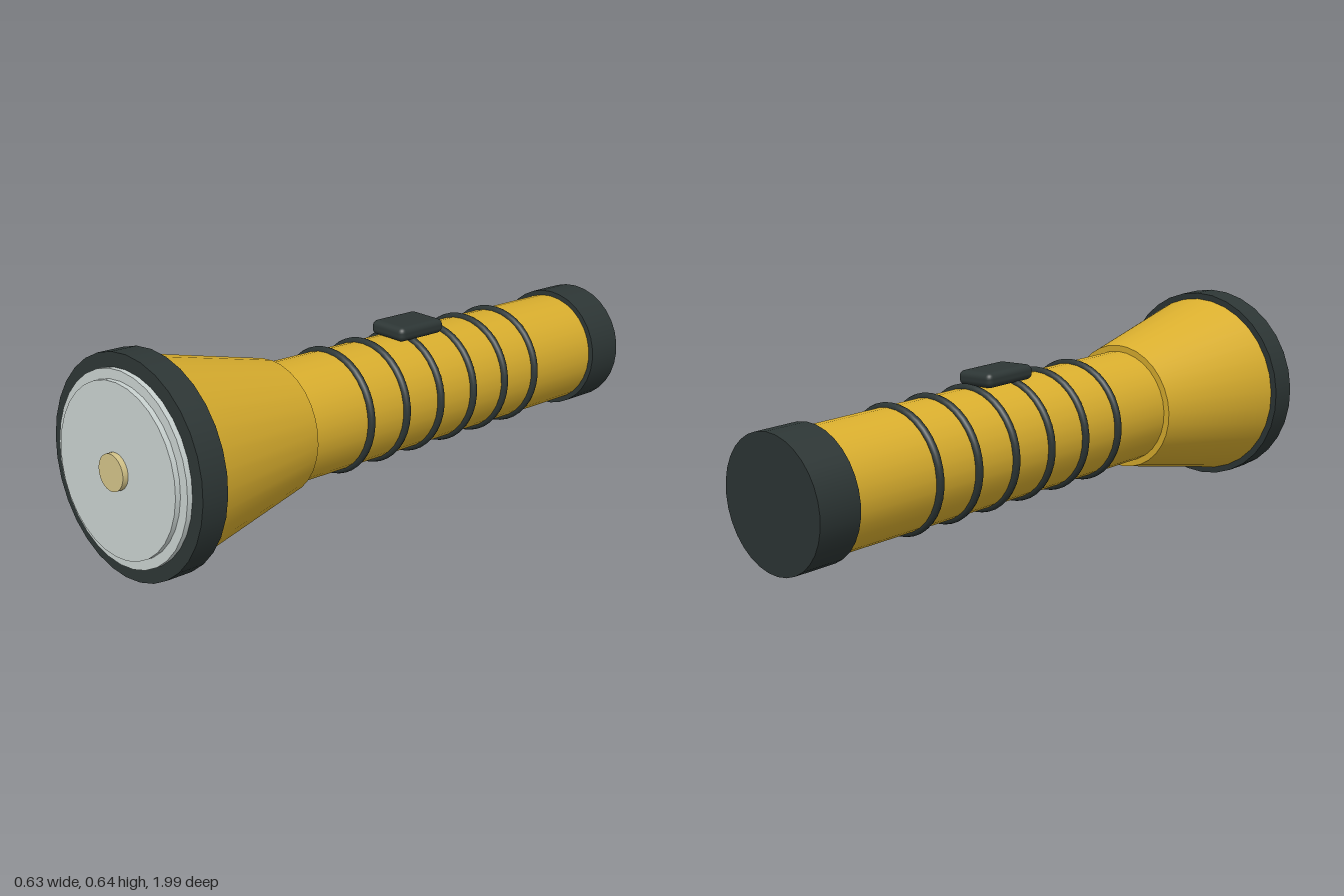
import * as THREE from 'three';
import { RoundedBoxGeometry } from 'three/addons/geometries/RoundedBoxGeometry.js';

function material(name, color) {
  const m = new THREE.MeshStandardMaterial({ color });
  m.name = name;
  return m;
}

export function createModel() {
  const yellow = material('yellow plastic', 0xd9ae2e);
  const rubber = material('dark rubber', 0x2d3635);
  const glass = material('pale glass', 0xc8d1cf);
  const bulbTint = material('warm bulb', 0xd2c288);

  const model = new THREE.Group();
  model.name = 'flashlight';

  // Everything is built along z, then tipped so the lamp end is raised
  const torch = new THREE.Group();
  torch.name = 'torch';
  torch.rotation.x = THREE.MathUtils.degToRad(-4);
  torch.position.y = 0.266;
  model.add(torch);

  function add(name, geometry, mat) {
    const mesh = new THREE.Mesh(geometry, mat);
    mesh.name = name;
    torch.add(mesh);
    return mesh;
  }

  // Round section running from z = back to z = front
  function section(name, back, front, backRadius, frontRadius, mat) {
    const g = new THREE.CylinderGeometry(frontRadius, backRadius, front - back, 32);
    g.rotateX(Math.PI / 2);
    g.translate(0, 0, (front + back) / 2);
    return add(name, g, mat);
  }

  // Handle and flared head
  section('handle', -0.9, 0.46, 0.18, 0.18, yellow);
  section('tailCap', -0.982, -0.846, 0.196, 0.196, rubber);
  section('head', 0.437, 0.88, 0.2, 0.297, yellow);
  section('bezel', 0.866, 0.949, 0.314, 0.314, rubber);

  // Stepped lens and bulb
  section('lensRim', 0.93, 0.965, 0.273, 0.273, glass);
  section('lens', 0.95, 0.981, 0.245, 0.245, glass);
  section('bulb', 0.97, 0.998, 0.052, 0.052, bulbTint);

  // Grip rings
  for (let i = 0; i < 6; i++) {
    const ring = add('gripRing', new THREE.TorusGeometry(0.18, 0.013, 10, 40), rubber);
    ring.position.z = 0.206 - i * 0.151;
  }

  // Switch on top of the handle
  const button = add('switch', new RoundedBoxGeometry(0.133, 0.045, 0.19, 3, 0.018), rubber);
  button.position.set(0, 0.2, -0.128);

  return model;
}
